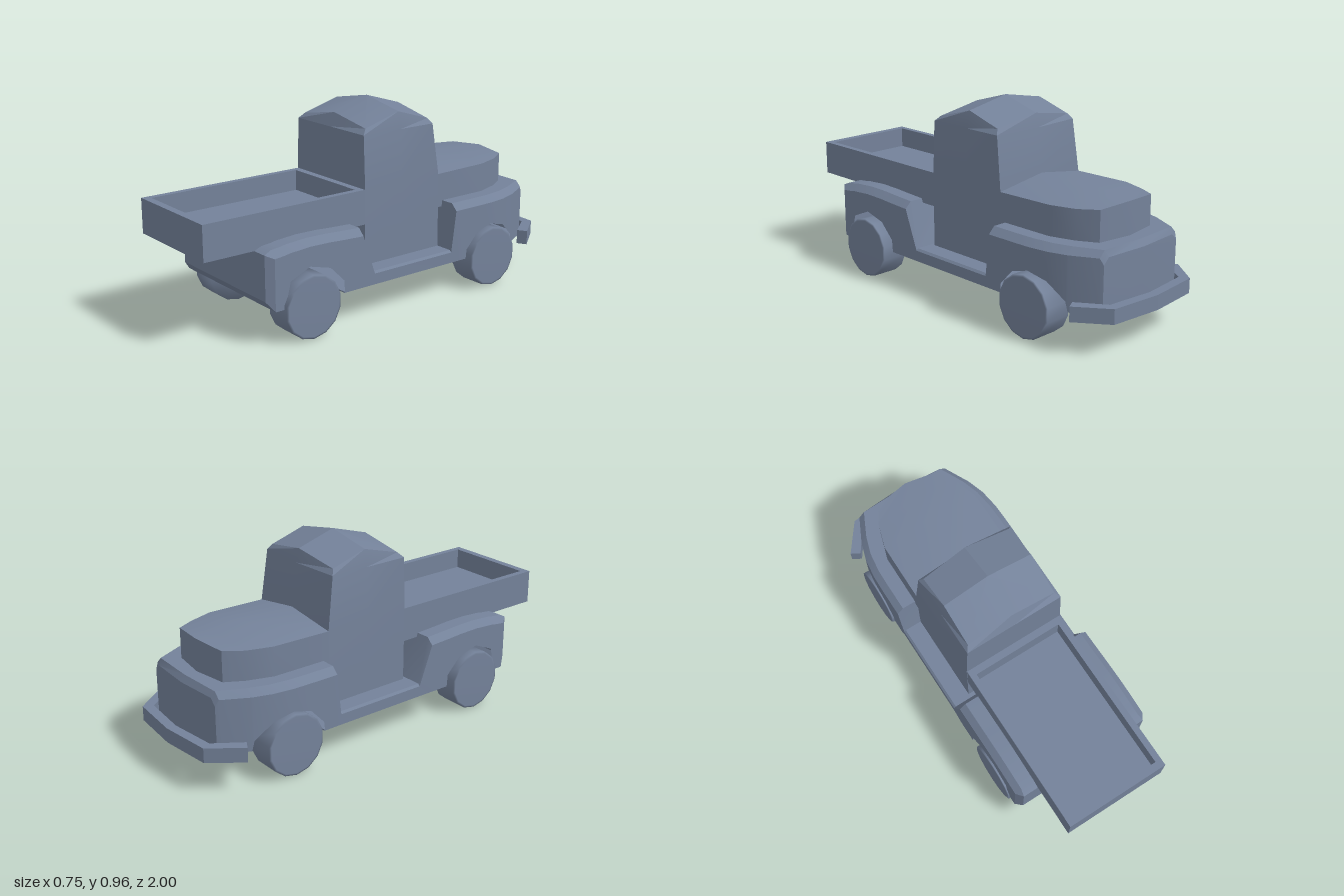
import * as THREE from 'three';
import { toCreasedNormals } from 'three/addons/utils/BufferGeometryUtils.js';

const paint = new THREE.MeshStandardMaterial({ color: 0x74829a, side: THREE.DoubleSide });

function add(parent, name, geometry, x = 0, y = 0, z = 0) {
  const mesh = new THREE.Mesh(geometry, paint);
  mesh.name = name;
  mesh.position.set(x, y, z);
  parent.add(mesh);
}

// Faceted skin over rows of [x, y, z] points
function skin(rows, closed = false) {
  const pos = [];
  for (let r = 0; r + 1 < rows.length; r++) {
    const a = rows[r], b = rows[r + 1], n = a.length;
    for (let i = 0; i < (closed ? n : n - 1); i++) {
      const j = (i + 1) % n;
      pos.push(...a[i], ...a[j], ...b[j], ...a[i], ...b[j], ...b[i]);
    }
  }
  const g = new THREE.BufferGeometry();
  g.setAttribute('position', new THREE.Float32BufferAttribute(pos, 3));
  return toCreasedNormals(g, 0.35);
}

// Mirrored section from half outline [[x, y], ...]; its last point is on the centre line
function section(half, z, bow = 0) {
  const right = half.map(([x, y]) => [-x, y, x === 0 ? z - bow : z]);
  const left = half.slice(0, -1).reverse().map(([x, y]) => [x, y, z]);
  return [...right, ...left];
}

// Collapse an end section onto the centre line to close it
const endCap = (row, z) => row.map(([, y]) => [0, y, z]);

// Lower body: [z, half width, lower edge, top, chamfer, bow]
function bodyShell() {
  const rows = [
    [0.75, 0.335, 0.21, 0.42, 0], [0.715, 0.36, 0.165, 0.435], [0.665, 0.36, 0.165, 0.44],
    [0.635, 0.36, 0.285, 0.445], [0.53, 0.36, 0.33, 0.452], [0.42, 0.36, 0.30, 0.45],
    [0.345, 0.36, 0.225, 0.445], [0.34, 0.36, 0.165, 0.445], [0.235, 0.36, 0.165, 0.44],
    [0.165, 0.357, 0.165, 0.225, 0.01], [-0.31, 0.357, 0.165, 0.225, 0.01], [-0.335, 0.36, 0.165, 0.45],
    [-0.405, 0.36, 0.165, 0.45], [-0.41, 0.36, 0.21, 0.45], [-0.48, 0.36, 0.285, 0.45],
    [-0.57, 0.358, 0.31, 0.45], [-0.67, 0.345, 0.285, 0.45], [-0.755, 0.318, 0.21, 0.45],
    [-0.765, 0.314, 0.165, 0.45], [-0.885, 0.255, 0.165, 0.45, 0.03, 0.01],
    [-0.9, 0.245, 0.165, 0.42, 0.03, 0.015],
  ].map(([z, w, low, top, cut = 0.032, bow = 0]) =>
    section([[w, low], [w, top - cut], [w - cut, top], [0, top]], z, bow));
  return skin([endCap(rows[0], 0.75), ...rows, endCap(rows[rows.length - 1], -0.915)]);
}

function hoodShell() {
  const rows = [
    [-0.28, 0.26, 0.585, 0.628, 0], [-0.6, 0.258, 0.59, 0.628, 0],
    [-0.72, 0.22, 0.59, 0.618, 0.015], [-0.81, 0.17, 0.595, 0.606, 0.025],
  ].map(([z, w, edge, top, bow]) => section([[w, 0.42], [w, edge], [0, top]], z, bow));
  return skin([...rows, endCap(rows[3], -0.835)]);
}

// Cab rings, each with eight points around, closed by the roof peak
function cabShell() {
  const mid = -0.075;
  const ring = (w, back, front, yCorner, ySide, yCentre) => [
    [w, yCorner, back], [w, ySide, mid], [w, yCorner, front], [0, yCentre, front - 0.015],
    [-w, yCorner, front], [-w, ySide, mid], [-w, yCorner, back], [0, yCentre, back],
  ];
  const flat = (w, back, front, y) => ring(w, back, front, y, y, y);
  const rows = [
    flat(0.26, 0.145, -0.31, 0.2),
    flat(0.26, 0.145, -0.305, 0.585),
    flat(0.249, 0.145, -0.272, 0.835),
    ring(0.23, 0.12, -0.255, 0.86, 0.915, 0.9),
  ];
  rows.push(rows[0].map(() => [0, 0.958, mid]));
  return skin(rows, true);
}

// Upright prism from a plan outline in x and z
function plan(outline, height, hole) {
  const toShape = (C, pts) => new C(pts.map(([x, z]) => new THREE.Vector2(x, -z)));
  const shape = toShape(THREE.Shape, outline);
  if (hole) shape.holes.push(toShape(THREE.Path, hole));
  return new THREE.ExtrudeGeometry(shape, { depth: height, bevelEnabled: false }).rotateX(-Math.PI / 2);
}
const rect = (w, z0, z1) => [[-w, z0], [w, z0], [w, z1], [-w, z1]];

// Add the mirrored half to a right-hand outline
const mirrored = (half) => [...half, ...half.filter(([x]) => x > 0).reverse().map(([x, z]) => [-x, z])];

export function createModel() {
  const model = new THREE.Group();
  model.name = 'pickupTruck';

  const body = new THREE.Group();
  body.name = 'body';
  body.position.x = -0.006;
  model.add(body);
  add(body, 'fendersAndRunningBoards', bodyShell());
  add(body, 'rearValance', skin([
    [[0.335, 0.21, 0.75], [-0.335, 0.21, 0.75]],
    [[0.36, 0.165, 0.715], [-0.36, 0.165, 0.715]],
  ]));
  add(body, 'hood', hoodShell());
  add(body, 'cab', cabShell());

  // Cargo bed: rim with a floor inside
  add(body, 'bedWalls', plan(rect(0.258, 0.14, 1), 0.165, rect(0.228, 0.18, 0.965)), 0, 0.42, 0);
  add(body, 'bedFloor', new THREE.BoxGeometry(0.47, 0.065, 0.8), 0, 0.453, 0.573);

  // Underside, narrowed between the wheels
  add(body, 'floor', plan(mirrored([
    [0.355, 0.71], [0.355, 0.665], [0.235, 0.665], [0.235, 0.34], [0.355, 0.34], [0.355, -0.405],
    [0.235, -0.405], [0.235, -0.765], [0.313, -0.765], [0.245, -0.9], [0, -0.912],
  ]), 0.006), 0, 0.162, 0);

  // Wraparound bumper
  add(body, 'bumper', plan([
    [-0.37, -0.825], [-0.258, -0.975], [0, -1], [0.258, -0.975], [0.37, -0.825],
    [0.325, -0.8], [0.235, -0.93], [0, -0.955], [-0.235, -0.93], [-0.325, -0.8],
  ], 0.07), 0, 0.153, 0);

  // Wheels and axles, with a soft inner edge and a small outer bevel
  const tyre = [[0, -0.067], [0.148, -0.067], [0.148, 0.064], [0.138, 0.067], [0, 0.067]]
    .map(([r, y]) => new THREE.Vector2(r, y));
  for (const [place, z] of [['rear', 0.527], ['front', -0.567]]) {
    add(model, place + 'Axle', new THREE.CylinderGeometry(0.014, 0.014, 0.5, 8).rotateZ(Math.PI / 2), 0, 0.148, z);
    for (const side of [-1, 1]) {
      const wheel = new THREE.LatheGeometry(tyre, 14, Math.PI / 2).rotateZ(-side * Math.PI / 2);
      add(model, place + 'Wheel', wheel, 0.002 + side * 0.308, 0.148, z);
    }
  }
  return model;
}
